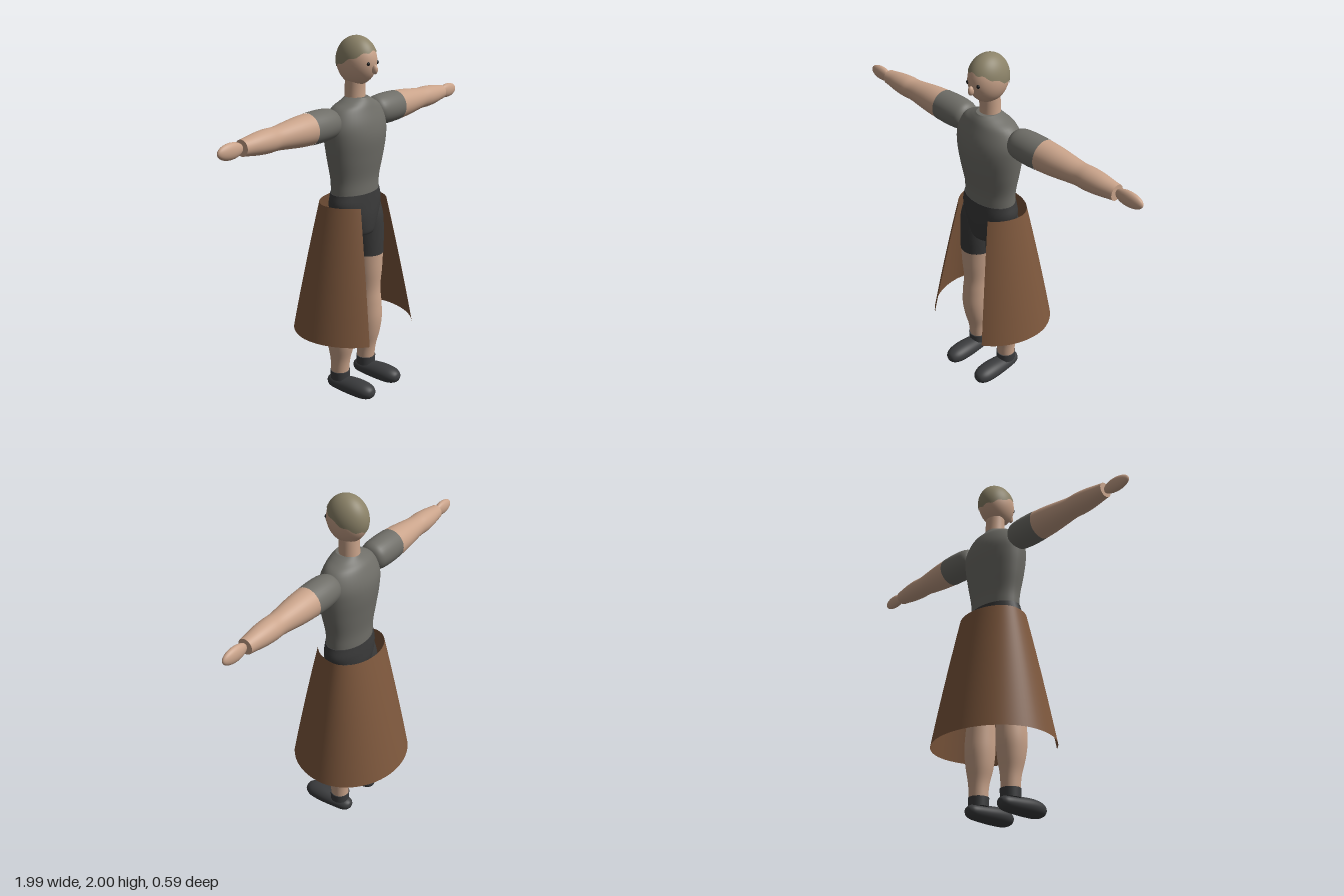
import * as THREE from 'three';
import { ParametricGeometry } from 'three/addons/geometries/ParametricGeometry.js';

const mat = (name, color, side = THREE.FrontSide) => {
  const m = new THREE.MeshStandardMaterial({ color, side });
  m.name = name;
  return m;
};

// Closed body of elliptical rings. Each section is [y, rx, rz, cx, cz].
function loft(sections, steps = 24, n = 40) {
  const radii = new THREE.CatmullRomCurve3(sections.map(s => new THREE.Vector3(s[1], s[0], s[2])));
  const mids = new THREE.CatmullRomCurve3(sections.map(s => new THREE.Vector3(s[3], s[0], s[4])));
  radii.curveType = mids.curveType = 'catmullrom';
  const rings = [];
  for (let i = 0; i <= steps; i++) {
    const r = radii.getPoint(i / steps), c = mids.getPoint(i / steps);
    rings.push([r.y, r.x, r.z, c.x, c.z]);
  }
  // flat caps: repeat the end ring, then shrink it to a point
  const cap = r => [r[0], 0, 0, r[3], r[4]];
  const first = rings[0], last = rings[steps];
  const all = [cap(first), first, ...rings, last, cap(last)];
  const pos = [], index = [];
  all.forEach(([y, rx, rz, cx, cz], i) => {
    for (let j = 0; j < n; j++) {
      const a = (j / n) * Math.PI * 2;
      pos.push(cx + rx * Math.sin(a), y, cz + rz * Math.cos(a));
      if (i === all.length - 1) continue;
      const k = (j + 1) % n, p = i * n, q = p + n;
      index.push(p + j, p + k, q + k, p + j, q + k, q + j);
    }
  });
  const g = new THREE.BufferGeometry();
  g.setAttribute('position', new THREE.Float32BufferAttribute(pos, 3));
  g.setIndex(index);
  g.computeVertexNormals();
  return g;
}

// Smooth turned shape from [radius, height] points
function turned(points) {
  const curve = new THREE.SplineCurve(points.map(p => new THREE.Vector2(...p)));
  return new THREE.LatheGeometry(curve.getPoints(28).map(p => p.setX(Math.max(p.x, 0))), 36);
}

const ellipsoid = (rx, ry, rz, n = 32) => new THREE.SphereGeometry(1, n, n * 0.75).scale(rx, ry, rz);

export function createModel() {
  const model = new THREE.Group();
  const skin = mat('skin', 0xc9a38a);
  const shirt = mat('shirt grey', 0x6f6e68);
  const dark = mat('dark cloth', 0x3a3a3a);
  const shoe = mat('shoe black', 0x3b3c3e);
  const hairMat = mat('hair', 0x8b8268, THREE.DoubleSide);
  const leather = mat('brown skirt', 0x7e583d, THREE.DoubleSide);
  const eyeMat = mat('eye', 0x1e1e1e);

  const add = (name, geometry, material, x = 0, y = 0, z = 0) => {
    const m = new THREE.Mesh(geometry, material);
    m.name = name;
    m.position.set(x, y, z);
    model.add(m);
    return m;
  };

  // Torso, pelvis and neck
  add('torso', loft([
    [1.17, 0.16, 0.105, 0, 0.035], [1.25, 0.165, 0.107, 0, 0.035],
    [1.36, 0.187, 0.124, 0, 0.037], [1.47, 0.203, 0.138, 0, 0.037],
    [1.55, 0.203, 0.132, 0, 0.035], [1.625, 0.165, 0.105, 0, 0.037],
    [1.66, 0.105, 0.082, 0, 0.045], [1.683, 0.06, 0.065, 0, 0.045],
  ], 35), shirt);
  add('pelvis', loft([
    [0.935, 0.095, 0.085, 0, 0.05], [0.96, 0.107, 0.1, 0, 0.045],
    [1.04, 0.155, 0.113, 0, 0.037], [1.11, 0.18, 0.112, 0, 0.035],
    [1.172, 0.166, 0.108, 0, 0.035],
  ]), dark);
  add('neck', loft([[1.64, 0.057, 0.057, 0, 0.032], [1.72, 0.055, 0.054, 0, 0.034],
    [1.81, 0.056, 0.055, 0, 0.038]], 8), skin);

  // Head, nose and eyes
  add('head', ellipsoid(0.092, 0.127, 0.115), skin, 0, 1.87, 0.045);
  add('nose', ellipsoid(0.014, 0.025, 0.018, 16), skin, 0, 1.835, 0.162);
  for (const s of [-1, 1]) add('eye', ellipsoid(0.01, 0.01, 0.008, 16), eyeMat, s * 0.037, 1.866, 0.149);

  // Hair cap: hairline high at the forehead, low and slightly ragged at the back
  const hair = new ParametricGeometry((u, v, p) => {
    const a = Math.PI - u * Math.PI * 2;
    const c = Math.cos(a);
    const line = 0.006 + 0.05 * c + 0.005 * Math.cos(9 * a);
    const t = v * Math.acos(line / 0.13);
    p.set(0.095 * Math.sin(t) * Math.sin(a), 0.13 * Math.cos(t), 0.119 * Math.sin(t) * c);
  }, 72, 16);
  hair.computeVertexNormals();
  add('hair', hair, hairMat, 0, 1.87, 0.045);

  for (const s of [-1, 1]) {
    const side = s > 0 ? 'left' : 'right';

    // Arm, turned along x
    const arm = new THREE.Group();
    arm.name = side + 'Arm';
    arm.position.set(0, 1.57, 0.023);
    arm.rotation.z = -s * Math.PI / 2;
    const part = (name, g, m) => {
      const mesh = new THREE.Mesh(g, m);
      mesh.name = name;
      arm.add(mesh);
      return mesh;
    };
    part('sleeve', turned([[0, 0.16], [0.045, 0.166], [0.07, 0.185], [0.081, 0.22],
      [0.085, 0.29], [0.083, 0.372]]), shirt);
    part('forearm', turned([[0.082, 0.37], [0.077, 0.45], [0.068, 0.53], [0.059, 0.61],
      [0.06, 0.67], [0.055, 0.74], [0.046, 0.8], [0.041, 0.838]]), skin);
    part('wrist', new THREE.CylinderGeometry(0.041, 0.041, 0.004, 36), skin).position.y = 0.837;
    part('hand', ellipsoid(0.041, 0.081, 0.025), skin).position.y = 0.912;
    model.add(arm);

    // Leg, from the shorts down
    add(side + 'Shorts', loft([
      [0.782, 0.092, 0.096, s * 0.108, 0.035], [0.88, 0.094, 0.1, s * 0.104, 0.035],
      [1.0, 0.09, 0.1, s * 0.1, 0.035], [1.08, 0.075, 0.085, s * 0.098, 0.035],
    ]), dark);
    add(side + 'Leg', loft([
      [0.11, 0.05, 0.05, s * 0.119, 0.023], [0.2, 0.055, 0.057, s * 0.12, 0.027],
      [0.29, 0.072, 0.075, s * 0.12, 0.032], [0.38, 0.08, 0.086, s * 0.12, 0.034],
      [0.48, 0.077, 0.083, s * 0.117, 0.035], [0.57, 0.072, 0.078, s * 0.112, 0.036],
      [0.68, 0.082, 0.088, s * 0.11, 0.036], [0.79, 0.09, 0.094, s * 0.108, 0.035],
    ], 32), skin);
    add(side + 'Sock', new THREE.CylinderGeometry(0.056, 0.054, 0.05, 36), shoe, s * 0.119, 0.103, 0.025);

    // Shoe: blunt rounded body lying along z, lower at the toe
    const body = loft([
      [-0.055, 0.004, 0.004, 0, 0.05], [-0.048, 0.025, 0.022, 0, 0.048],
      [-0.02, 0.044, 0.037, 0, 0.046], [0.05, 0.053, 0.044, 0, 0.047],
      [0.14, 0.059, 0.049, 0, 0.05], [0.21, 0.054, 0.045, 0, 0.049],
      [0.25, 0.034, 0.029, 0, 0.048], [0.264, 0.004, 0.004, 0, 0.047],
    ], 35);
    // swap the loft axis from y to z
    body.rotateX(Math.PI / 2).scale(1, -1, 1);
    const idx = body.index.array;
    for (let i = 0; i < idx.length; i += 3) [idx[i], idx[i + 1]] = [idx[i + 1], idx[i]];
    body.computeVertexNormals();
    add(side + 'Shoe', body, shoe, s * 0.12, 0.002, 0);
  }

  // Flared skirt, open at the front
  const gap = 0.61;
  add('skirt', new ParametricGeometry((u, v, p) => {
    const a = gap + u * (Math.PI * 2 - 2 * gap);
    const d = 1 - v, f = d + 0.1 * d * (1 - d);
    const rx = 0.2 + 0.147 * f;
    const rz = Math.cos(a) > 0 ? 0.2 + 0.157 * f : 0.14 + 0.153 * f;
    p.set(rx * Math.sin(a), 0.38 + 0.735 * v, rz * Math.cos(a));
  }, 64, 14), leather);

  return model;
}
